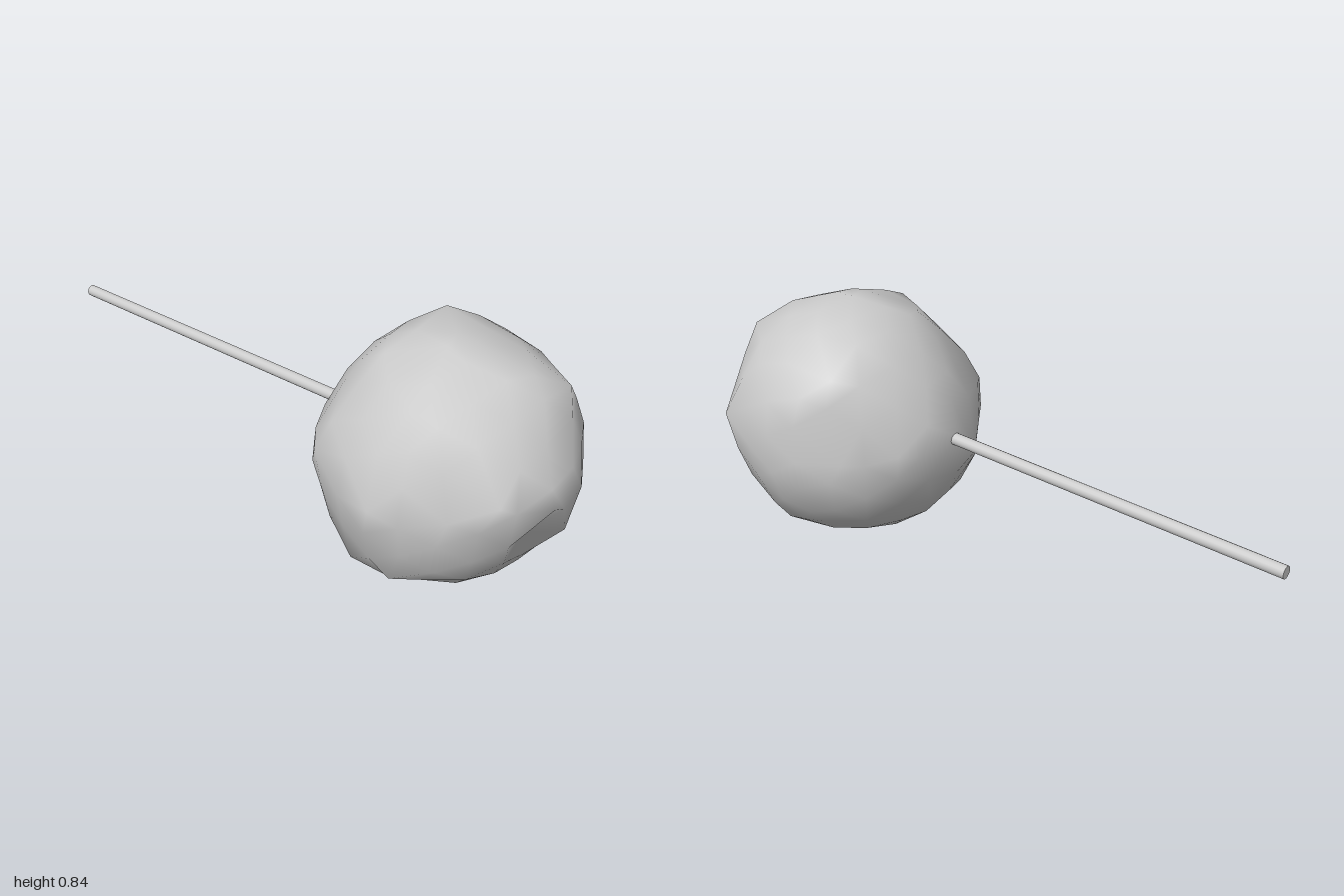
import * as THREE from 'three';
import { mergeVertices } from 'three/addons/utils/BufferGeometryUtils.js';

const CENTRE = new THREE.Vector3(0.57, 0.42, 0);
const BASE_RADIUS = 0.405;

// Corners and dents of the ball: surface points relative to its centre.
const KNOTS = [
  // left half, top to bottom
  [0.07, 0.42, 0.02], [0.25, 0.36, 0.03], [0.34, 0.3, -0.06], [0.19, 0.26, -0.28],
  [0.27, 0.1, 0.34], [0.395, 0.05, 0.21], [0.43, 0.03, 0.04], [0.35, 0.05, -0.27],
  [0.11, 0.18, -0.37], [0.31, -0.06, 0.21], [0.4, -0.14, 0.04], [0.37, -0.14, -0.18],
  [0.29, -0.08, 0.27], [0.3, -0.22, 0.11], [0.26, -0.32, 0.0], [0.135, -0.3, -0.26],
  [0.05, -0.26, 0.31], [0.08, -0.4, 0.02], [0.13, 0.02, 0.37],
  // right half, top to bottom
  [0, 0.42, 0.08], [-0.09, 0.41, -0.17], [-0.2, 0.38, 0.02], [-0.02, 0.33, 0.31],
  [-0.01, 0.31, -0.32], [-0.1, 0.27, -0.33], [-0.31, 0.23, 0.09], [-0.37, 0.15, -0.04],
  [-0.42, 0.04, -0.1], [-0.33, 0.08, 0.27], [-0.09, 0.04, 0.438], [-0.02, 0.22, -0.387],
  [-0.3, 0.02, -0.28], [-0.435, -0.06, 0], [-0.14, 0, -0.37], [-0.01, -0.09, -0.405],
  [-0.36, -0.2, -0.05], [-0.33, -0.24, 0.1], [-0.2, -0.29, 0.27], [-0.04, -0.25, 0.36],
  [-0.25, -0.32, 0], [-0.01, -0.27, -0.29], [-0.09, -0.35, -0.15], [-0.04, -0.42, -0.01],
  [-0.04, -0.38, 0.15],
].map((p) => {
  const point = new THREE.Vector3(...p);
  return { point, radius: point.length(), dir: point.clone().normalize() };
});

// Radius of the ball along a direction, blended from the nearby knots.
function radiusAt(dir) {
  let weight = 0.3;
  let sum = BASE_RADIUS * weight;
  for (const k of KNOTS) {
    const w = Math.exp(-45 * (1 - dir.dot(k.dir)));
    weight += w;
    sum += w * k.radius;
  }
  return sum / weight;
}

// Coarse sphere, shaped by the knots, with a corner pulled onto each knot.
function lumpyBall() {
  let geo = new THREE.IcosahedronGeometry(1, 3);
  geo.deleteAttribute('normal');
  geo.deleteAttribute('uv');
  geo = mergeVertices(geo);
  const pos = geo.attributes.position;
  const dirs = Array.from({ length: pos.count }, (_, i) => new THREE.Vector3().fromBufferAttribute(pos, i).normalize());
  dirs.forEach((dir, i) => {
    const r = radiusAt(dir);
    pos.setXYZ(i, dir.x * r, dir.y * r, dir.z * r);
  });
  for (const { point, dir } of KNOTS) {
    let nearest = 0;
    dirs.forEach((d, i) => {
      if (d.dot(dir) > dirs[nearest].dot(dir)) nearest = i;
    });
    pos.setXYZ(nearest, point.x, point.y, point.z);
  }
  geo.computeVertexNormals();
  return geo;
}

export function createModel() {
  const material = new THREE.MeshStandardMaterial({ color: 0xcccccc });
  const model = new THREE.Group();
  model.name = 'ballOnStick';

  // Lumpy ball
  const ball = new THREE.Mesh(lumpyBall(), material);
  ball.name = 'ball';
  ball.position.copy(CENTRE);
  model.add(ball);

  // Thin round stick running into the ball
  const tip = new THREE.Vector3(-0.995, 0.418, -0.425);
  const inner = new THREE.Vector3(0.3, 0.452, -0.06);
  const axis = inner.clone().sub(tip);
  const stick = new THREE.Mesh(new THREE.CylinderGeometry(0.02, 0.02, axis.length(), 16), material);
  stick.name = 'stick';
  stick.position.copy(tip).add(inner).multiplyScalar(0.5);
  stick.quaternion.setFromUnitVectors(new THREE.Vector3(0, 1, 0), axis.normalize());
  model.add(stick);

  return model;
}
